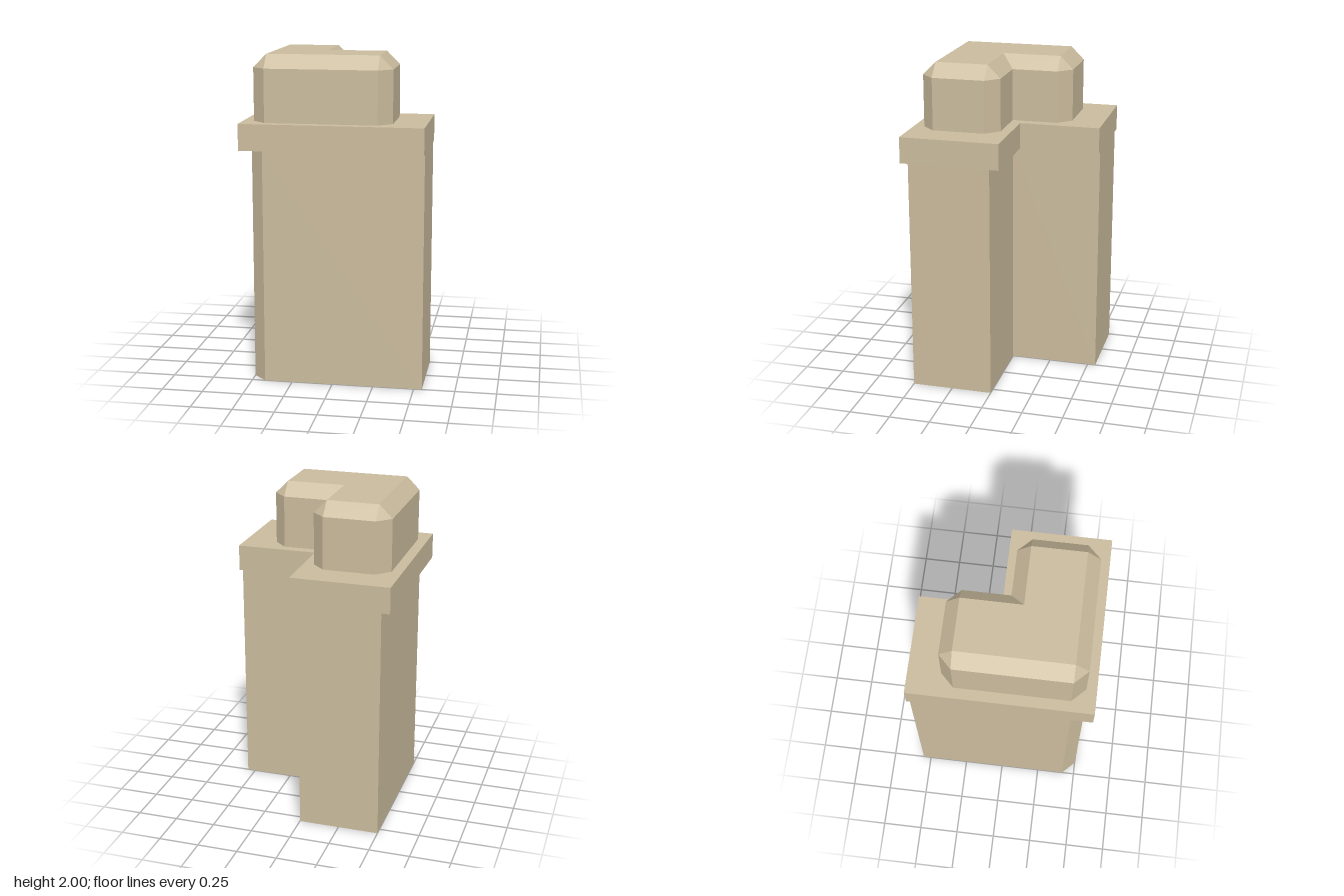
import * as THREE from 'three';

const CUT = 0.08;

// L outline as [x, z] corners, counter-clockwise seen from above; corner 3 is the inner one
const lOutline = (x0, x1, xi, z0, z1, zi) =>
  [[x0, z1], [x1, z1], [x1, zi], [xi, zi], [xi, z0], [x0, z0]];

const toShape = (pts) => new THREE.Shape(pts.map(([x, z]) => new THREE.Vector2(x, -z)));

// Unit directions of the edges before and after a corner
function edgeDirs(pts, i) {
  const n = pts.length, p = pts[(i + n - 1) % n], c = pts[i], q = pts[(i + 1) % n];
  const dir = (a, b) => [Math.sign(b[0] - a[0]), Math.sign(b[1] - a[1])];
  return [dir(p, c), dir(c, q)];
}
const offset = (c, a, ka, b, kb) => [c[0] + a[0] * ka + b[0] * kb, c[1] + a[1] * ka + b[1] * kb];

// Upright prism from an outline
function prism(pts, y0, y1) {
  const g = new THREE.ExtrudeGeometry(toShape(pts), { depth: y1 - y0, bevelEnabled: false });
  return g.rotateX(-Math.PI / 2).translate(0, y0, 0);
}

// Skin between two rings of matching points, skipping collapsed triangles
function skirt(low, y0, high, y1) {
  const pos = [];
  const same = (p, q) => p.distanceTo(q) < 1e-6;
  const tri = (...v) => {
    if (same(v[0], v[1]) || same(v[1], v[2]) || same(v[2], v[0])) return;
    v.forEach((p) => pos.push(p.x, p.y, p.z));
  };
  low.forEach((_, i) => {
    const j = (i + 1) % low.length;
    const at = (p, y) => new THREE.Vector3(p[0], y, p[1]);
    const a = at(low[i], y0), b = at(low[j], y0), c = at(high[j], y1), d = at(high[i], y1);
    tri(a, b, c);
    tri(a, c, d);
  });
  const g = new THREE.BufferGeometry();
  g.setAttribute('position', new THREE.Float32BufferAttribute(pos, 3));
  g.computeVertexNormals();
  return g;
}

export function createModel() {
  const group = new THREE.Group();
  const stone = new THREE.MeshStandardMaterial({ color: 0xcabb9d });
  stone.name = 'sandstone';
  const add = (name, geometry, parent = group) => {
    const mesh = new THREE.Mesh(geometry, stone);
    mesh.name = name;
    parent.add(mesh);
  };

  // Tall body with one chamfered outer corner
  const body = lOutline(-0.5, 0.55, 0, -0.55, 0.5, 0);
  const [bp, bn] = edgeDirs(body, 0);
  body.splice(0, 1, offset(body[0], bp, -CUT, bn, 0), offset(body[0], bp, 0, bn, CUT));
  add('towerBody', prism(body, 0, 1.44));

  // Overhanging ledge
  add('ledge', prism(lOutline(-0.552, 0.55, 0.053, -0.552, 0.55, -0.057), 1.44, 1.6));

  // Upper block: chamfered walls, sloped rim and flat roof
  const block = new THREE.Group();
  block.name = 'upperBlock';
  group.add(block);
  const corners = lOutline(-0.487, 0.35, -0.01, -0.355, 0.487, 0.006);
  const wall = [], rim = [], roof = [];
  corners.forEach((c, i) => {
    const [a, b] = edgeDirs(corners, i);
    const inner = i === 3;
    const top = inner ? offset(c, a, CUT, b, -CUT) : offset(c, a, -CUT, b, CUT);
    roof.push(top);
    if (inner) {
      wall.push(c);
      rim.push(top);
    } else {
      wall.push(offset(c, a, -CUT, b, 0), offset(c, a, 0, b, CUT));
      rim.push(top, top);
    }
  });
  add('blockWalls', skirt(wall, 1.6, wall, 1.92), block);
  add('blockRim', skirt(wall, 1.92, rim, 2), block);
  add('blockRoof', new THREE.ShapeGeometry(toShape(roof)).rotateX(-Math.PI / 2).translate(0, 2, 0), block);

  return group;
}
